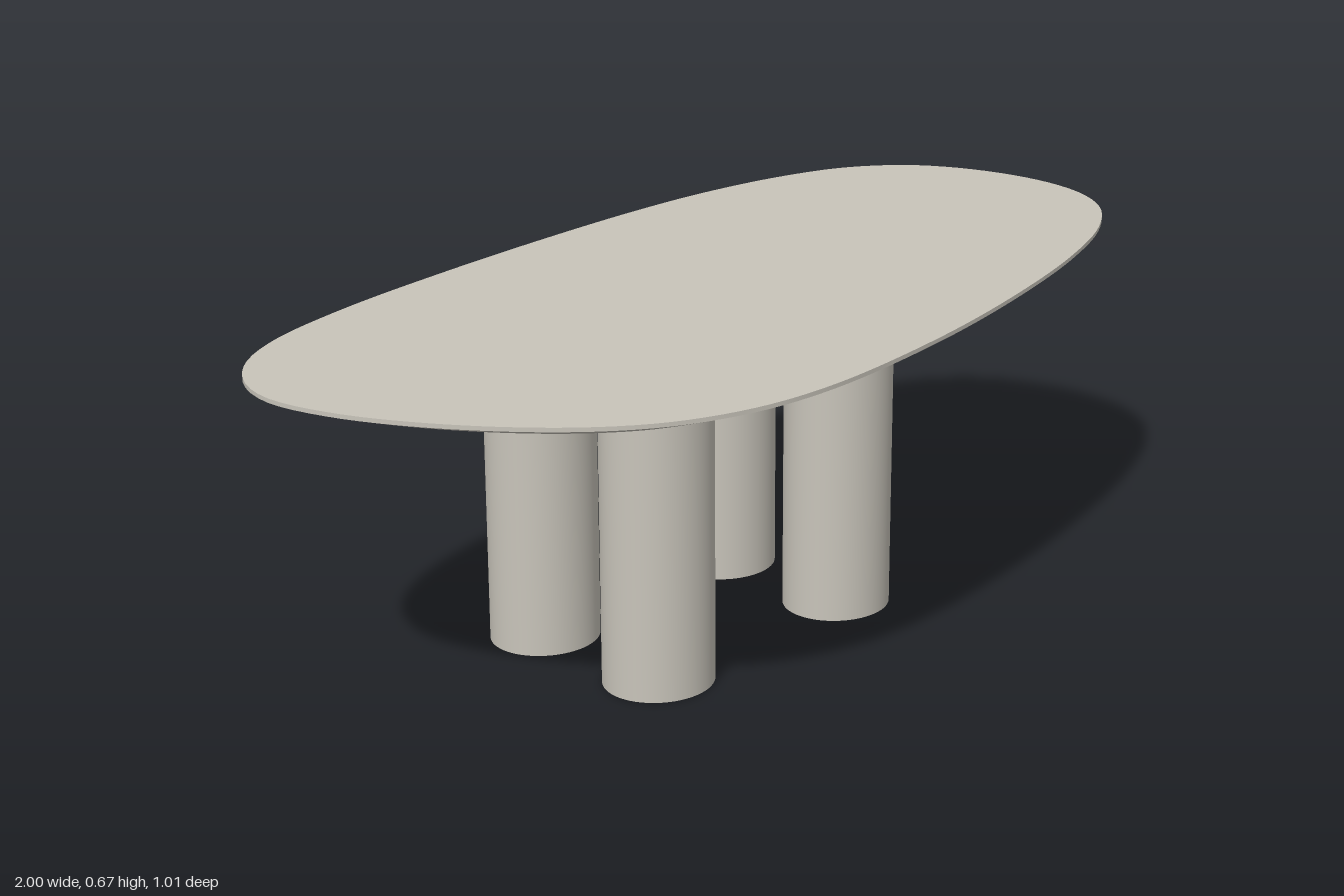
import * as THREE from 'three';
import { toCreasedNormals } from 'three/addons/utils/BufferGeometryUtils.js';

// Tabletop outline as [x, z], running along the back and then along the front
const OUTLINE = [
  [-1, -0.15], [-0.975, -0.245], [-0.91, -0.325], [-0.8, -0.387], [-0.6, -0.438], [-0.3, -0.477],
  [0, -0.5], [0.25, -0.508], [0.45, -0.5], [0.65, -0.468], [0.8, -0.415], [0.91, -0.325],
  [0.975, -0.2], [1, -0.05], [0.98, 0.075], [0.92, 0.173], [0.8, 0.26], [0.6, 0.342],
  [0.3, 0.423], [0, 0.478], [-0.3, 0.503], [-0.47, 0.486], [-0.61, 0.436], [-0.71, 0.368],
  [-0.81, 0.265], [-0.91, 0.12], [-0.975, -0.02],
];

// Slab with a thin vertical rim and an undercut bevel, built ring by ring from top to bottom
function tabletopGeometry(top, rim, bottom, inset, steps = 160) {
  const curve = new THREE.CatmullRomCurve3(OUTLINE.map(([x, z]) => new THREE.Vector3(x, 0, z)), true);
  const ring = (y, offset) => Array.from({ length: steps }, (_, i) => {
    const p = curve.getPointAt(i / steps);
    const t = curve.getTangentAt(i / steps);
    return [p.x - t.z * offset, y, p.z + t.x * offset];
  });
  const centre = (y) => Array(steps).fill([0, y, 0]);
  const rings = [centre(top), ring(top, 0), ring(rim, 0), ring(bottom, inset), centre(bottom)];

  const positions = [];
  for (let r = 0; r < rings.length - 1; r++) {
    const u = rings[r], l = rings[r + 1];
    for (let i = 0; i < steps; i++) {
      const j = (i + 1) % steps;
      if (r > 0) positions.push(...u[i], ...u[j], ...l[i]);
      if (r < rings.length - 2) positions.push(...u[j], ...l[j], ...l[i]);
    }
  }
  const geometry = new THREE.BufferGeometry();
  geometry.setAttribute('position', new THREE.Float32BufferAttribute(positions, 3));
  return toCreasedNormals(geometry, 0.25);
}

export function createModel() {
  const group = new THREE.Group();
  group.name = 'table';
  const stone = new THREE.MeshStandardMaterial({ color: 0xc8c4ba });
  stone.name = 'warm grey stone';

  const tabletop = new THREE.Mesh(tabletopGeometry(0.67, 0.662, 0.63, 0.08), stone);
  tabletop.name = 'tabletop';
  group.add(tabletop);

  // Four thick column legs, slightly wider than deep
  const legHeight = 0.63;
  const legGeometry = new THREE.CylinderGeometry(1, 1, legHeight, 64);
  legGeometry.scale(0.11, 1, 0.1025);
  for (const [side, x] of [['Right', -0.325], ['Left', 0.18]]) {
    for (const [end, z] of [['front', 0.1025], ['back', -0.2025]]) {
      const leg = new THREE.Mesh(legGeometry, stone);
      leg.name = `${end}${side}Leg`;
      leg.position.set(x, legHeight / 2, z);
      group.add(leg);
    }
  }
  return group;
}
